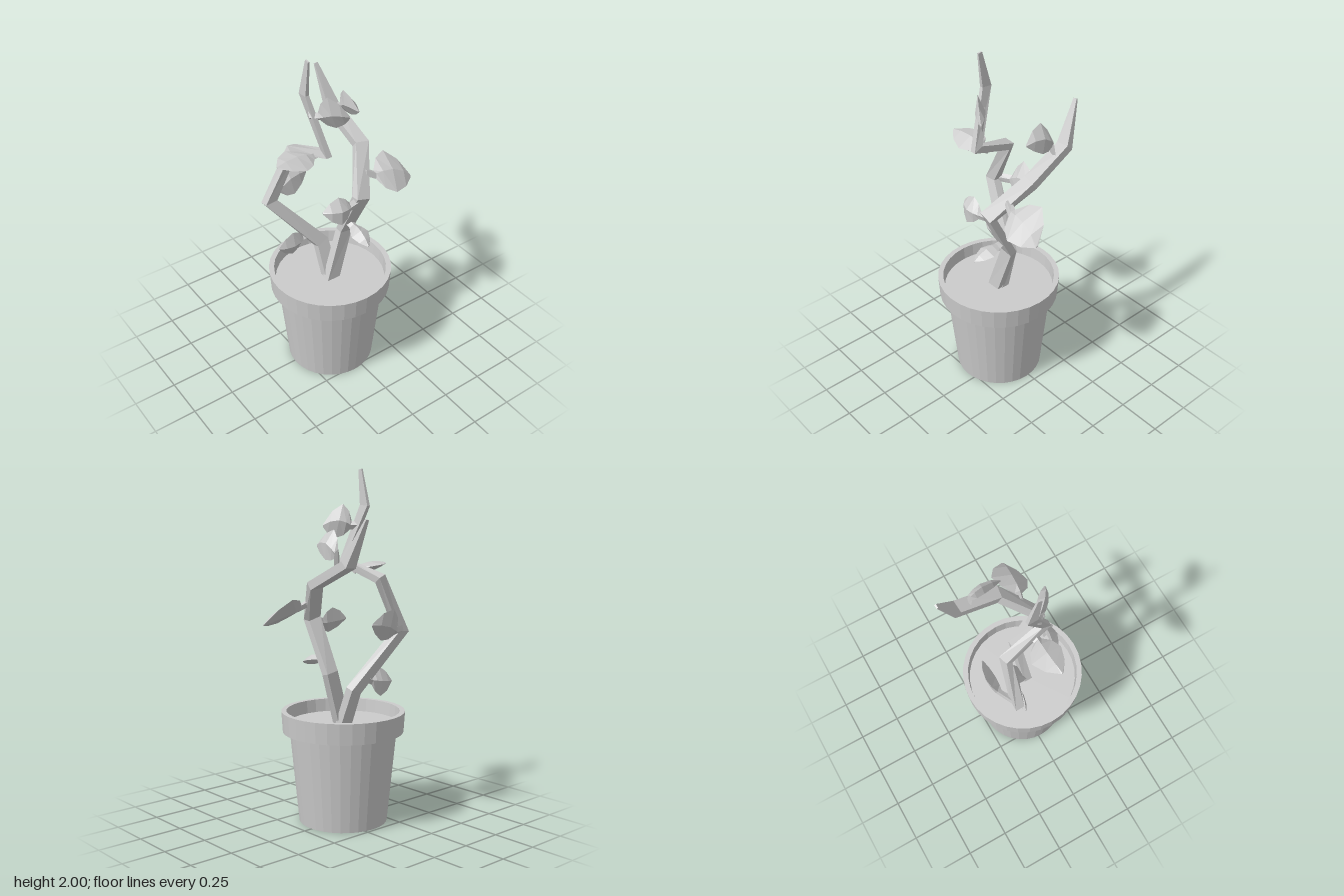
import * as THREE from 'three';

const V = (a) => new THREE.Vector3(...a);
const material = new THREE.MeshStandardMaterial({ color: 0xcccccc, flatShading: true });

// Skin a list of four-cornered rings and cap both ends
function loft(rings) {
  const pos = [];
  const tri = (...pts) => pts.forEach((p) => pos.push(p.x, p.y, p.z));
  for (let k = 0; k < rings.length - 1; k++) {
    for (let i = 0; i < 4; i++) {
      const j = (i + 1) % 4;
      const a = rings[k][i], b = rings[k][j], c = rings[k + 1][j], d = rings[k + 1][i];
      tri(a, b, c);
      tri(a, c, d);
    }
  }
  const s = rings[0], e = rings[rings.length - 1];
  tri(s[0], s[2], s[1]);
  tri(s[0], s[3], s[2]);
  tri(e[0], e[1], e[2]);
  tri(e[0], e[2], e[3]);
  const g = new THREE.BufferGeometry();
  g.setAttribute('position', new THREE.Float32BufferAttribute(pos, 3));
  g.computeVertexNormals();
  return g;
}

function add(group, name, geometry) {
  const mesh = new THREE.Mesh(geometry, material);
  mesh.name = name;
  group.add(mesh);
  return mesh;
}

// Angular stem: nodes are [x, y, z, width, depth], mitred at each bend
function stemGeometry(nodes) {
  const pts = nodes.map((n) => V(n.slice(0, 3)));
  const dir = (i) => pts[i + 1].clone().sub(pts[i]).normalize();
  const last = pts.length - 1;
  return loft(pts.map((p, i) => {
    const t = new THREE.Vector3();
    if (i > 0) t.add(dir(i - 1));
    if (i < last) t.add(dir(i));
    if (i === 0) t.set(0, 1, 0);
    t.normalize();
    const u = new THREE.Vector3(1, 0, 0).addScaledVector(t, -t.x).normalize();
    const v = t.clone().cross(u);
    return [[1, 1], [-1, 1], [-1, -1], [1, -1]].map(([a, b]) =>
      p.clone().addScaledVector(u, a * nodes[i][3] / 2).addScaledVector(v, b * nodes[i][4] / 2));
  }));
}

// Leaf on a short stalk: a lens-shaped blade between two widest edge points
function leafGeometry(stalk, base, tip, edgeA, edgeB) {
  const [s, b, t, ea, eb] = [stalk, base, tip, edgeA, edgeB].map(V);
  const axis = t.clone().sub(b);
  const half = ea.clone().sub(eb).multiplyScalar(0.5);
  const n = axis.clone().cross(half).normalize();
  const bulge = ea.clone().add(eb).multiplyScalar(0.5).sub(b.clone().lerp(t, 0.45));
  bulge.addScaledVector(axis, -bulge.dot(axis) / axis.lengthSq());
  const ring = (c, w, h) => [
    c.clone().addScaledVector(half, w), c.clone().addScaledVector(n, h),
    c.clone().addScaledVector(half, -w), c.clone().addScaledVector(n, -h)];
  const stem = 0.025 / half.length();
  const rings = [ring(s, stem, 0.022), ring(b, stem, 0.018)];
  for (const [f, w, h] of [[0.16, 0.72, 0.025], [0.42, 1, 0.028], [0.75, 0.66, 0.02], [1, 0.08, 0.004]]) {
    const c = b.clone().lerp(t, f).addScaledVector(bulge, Math.sin(Math.PI * f));
    rings.push(ring(c, w, h));
  }
  return loft(rings);
}

export function createModel() {
  const model = new THREE.Group();
  model.name = 'pottedPlant';

  // Tapered pot with an overhanging rim
  const pot = new THREE.Group();
  pot.name = 'pot';
  pot.position.set(-0.055, 0, 0.018);
  model.add(pot);
  const profile = [[0, 0], [0.254, 0], [0.306, 0.525], [0.346, 0.525], [0.354, 0.645], [0.324, 0.645], [0.316, 0.56]];
  add(pot, 'potBody', new THREE.LatheGeometry(profile.map((p) => new THREE.Vector2(...p)), 32));
  const soil = add(pot, 'soil', new THREE.CircleGeometry(0.318, 32).rotateX(-Math.PI / 2));
  soil.position.y = 0.57;

  // Two angular stems from a shared foot
  add(model, 'leftStem', stemGeometry([
    [-0.06, 0.56, 0.035, 0.085, 0.05], [0.04, 0.87, 0.022, 0.08, 0.045],
    [0.045, 1.17, 0.17, 0.085, 0.05], [0.175, 1.375, -0.01, 0.08, 0.05],
    [0.163, 1.495, -0.265, 0.075, 0.05], [0.129, 1.73, -0.367, 0.022, 0.01]]));
  add(model, 'rightStem', stemGeometry([
    [-0.05, 0.56, 0.01, 0.085, 0.05], [-0.06, 0.77, -0.065, 0.08, 0.05],
    [-0.325, 1.1, -0.175, 0.075, 0.05], [-0.175, 1.4, -0.155, 0.06, 0.045],
    [-0.133, 1.485, 0.1, 0.035, 0.06], [-0.188, 1.8, -0.015, 0.022, 0.06],
    [-0.188, 2, 0.022, 0.01, 0.025]]));

  // Leaves: stalk, blade base, tip, and the two widest edge points
  const leaves = [
    [[0.12, 1.27, 0.1], [0.175, 1.24, 0.12], [0.405, 1.16, 0.15], [0.28, 1.31, 0.02], [0.23, 1.16, 0.22]],
    [[0.02, 1.15, 0.165], [-0.03, 1.14, 0.17], [-0.19, 1.15, 0.145], [-0.09, 1.22, 0.155], [-0.1, 1.07, 0.205]],
    [[-0.32, 1.11, -0.18], [-0.225, 1.11, -0.23], [-0.045, 1.16, -0.23], [-0.14, 1.25, -0.275], [-0.11, 1.07, -0.2]],
    [[-0.12, 0.84, -0.09], [-0.165, 0.82, -0.1], [-0.315, 0.8, -0.11], [-0.25, 0.89, -0.09], [-0.24, 0.72, -0.115]],
    [[0.04, 0.95, 0.05], [0.04, 0.94, 0.11], [0.03, 0.9, 0.265], [0.092, 0.925, 0.19], [-0.02, 0.925, 0.19]],
    [[-0.14, 1.44, 0.02], [-0.18, 1.445, 0.03], [-0.4, 1.47, 0.045], [-0.29, 1.47, -0.065], [-0.27, 1.44, 0.12]],
    [[-0.18, 1.69, 0.02], [-0.145, 1.69, 0.055], [-0.025, 1.69, 0.155], [-0.11, 1.81, 0.105], [-0.06, 1.62, 0.115]],
    [[0.17, 1.45, -0.18], [0.16, 1.55, -0.17], [0.15, 1.59, 0], [0.13, 1.68, -0.1], [0.175, 1.52, -0.08]],
  ];
  leaves.forEach((l, i) => add(model, `leaf${i + 1}`, leafGeometry(...l)));
  return model;
}
